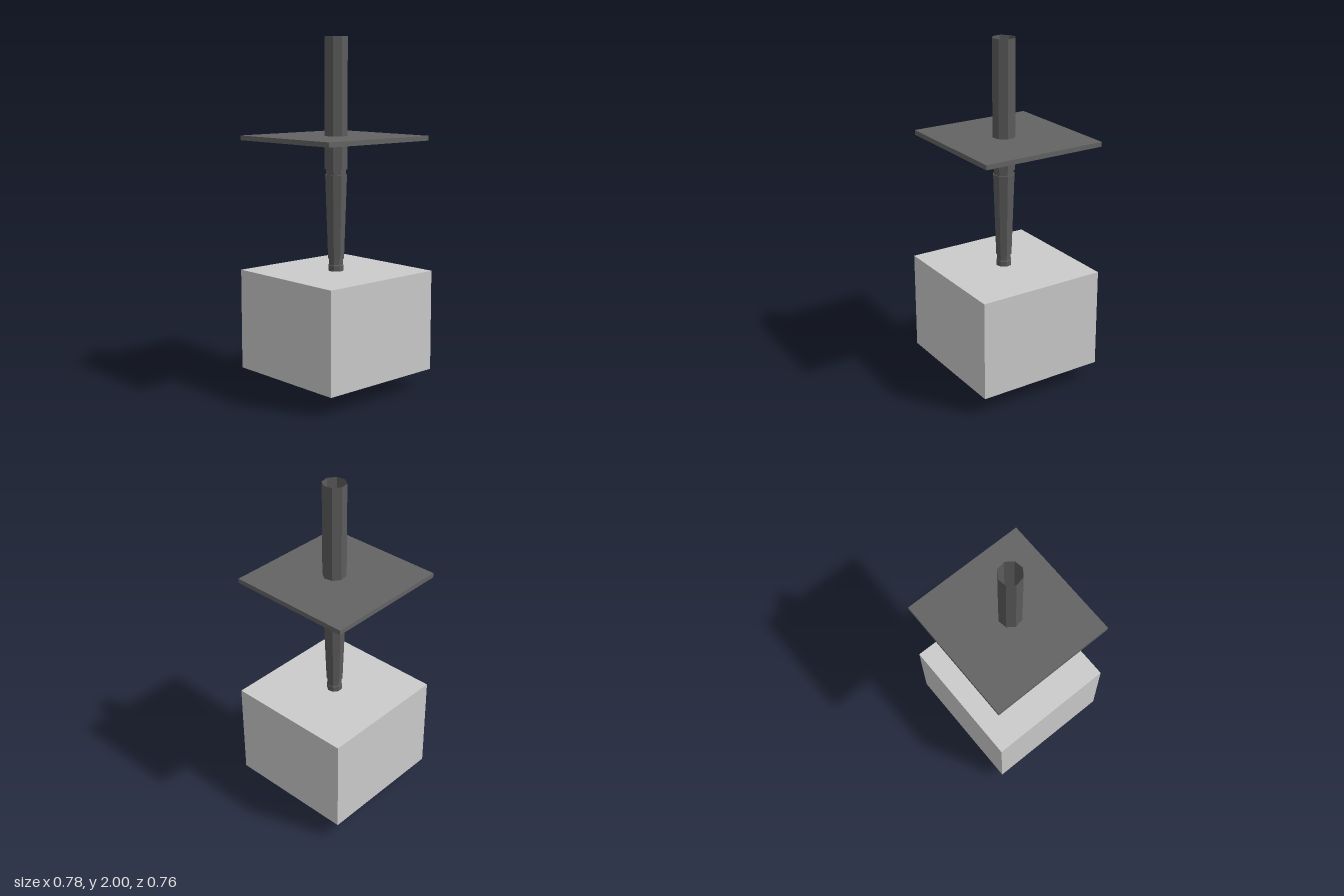
import * as THREE from 'three';

const SIDES = 8;
const TURN = -13 * Math.PI / 180; // facets are turned slightly off the front

const dark = new THREE.MeshStandardMaterial({ color: 0x5c5c5c, flatShading: true, side: THREE.DoubleSide });
const plateMat = new THREE.MeshStandardMaterial({ color: 0x646464, flatShading: true });
const grey = new THREE.MeshStandardMaterial({ color: 0xcccccc, flatShading: true });

function add(parent, name, geometry, material, x = 0, y = 0, z = 0) {
  const mesh = new THREE.Mesh(geometry, material);
  mesh.name = name;
  mesh.position.set(x, y, z);
  parent.add(mesh);
  return mesh;
}

// Faceted turned part; profile is [radius, y] from bottom to top
function turned(profile) {
  return new THREE.LatheGeometry(profile.map(([r, y]) => new THREE.Vector2(r, y)), SIDES, TURN);
}

// Loft of tilted rings in the yz plane; ring is [y, z, radius, tilt in degrees]
function loft(rings) {
  const pos = [], index = [];
  for (const [y, z, r, deg] of rings) {
    const tilt = THREE.MathUtils.degToRad(deg);
    for (let j = 0; j < SIDES; j++) {
      const t = TURN + j / SIDES * Math.PI * 2;
      const c = r * Math.cos(t);
      pos.push(r * Math.sin(t), y - c * Math.sin(tilt), z + c * Math.cos(tilt));
    }
  }
  for (let i = 0; i < rings.length - 1; i++) {
    for (let j = 0; j < SIDES; j++) {
      const k = (j + 1) % SIDES;
      const a = i * SIDES + j, b = i * SIDES + k;
      index.push(a, a + SIDES, b, b, a + SIDES, b + SIDES);
    }
  }
  // closed tip
  const last = (rings.length - 1) * SIDES;
  for (let j = 1; j < SIDES - 1; j++) index.push(last, last + j + 1, last + j);
  const geometry = new THREE.BufferGeometry();
  geometry.setAttribute('position', new THREE.Float32BufferAttribute(pos, 3));
  geometry.setIndex(index);
  geometry.computeVertexNormals();
  return geometry;
}

function rectangle(Type, w, d) {
  return new Type([[-w, -d], [w, -d], [w, d], [-w, d]].map(([x, y]) => new THREE.Vector2(x, y)));
}

export function createModel() {
  const model = new THREE.Group();
  model.name = 'hookedRod';

  // Rod: open upper tube, tapered middle and lower lengths with narrow necks
  const rod = new THREE.Group();
  rod.name = 'rod';
  rod.position.set(-0.002, 0, 0.002);
  model.add(rod);
  add(rod, 'upperTube', turned([[0.056, 1.265], [0.067, 1.265], [0.067, 2]]), dark);
  add(rod, 'upperNeck', turned([[0.058, 1.235], [0.058, 1.265]]), dark);
  add(rod, 'middleTaper', turned([[0.038, 0.755], [0.047, 0.755], [0.064, 1.235], [0.056, 1.235]]), dark);
  add(rod, 'middleNeck', turned([[0.041, 0.72], [0.041, 0.755]]), dark);
  add(rod, 'collar', turned([[0.04, 0.66], [0.045, 0.67], [0.045, 0.715], [0.04, 0.725]]), dark);
  add(rod, 'lowerTaper', turned([[0.024, 0.26], [0.031, 0.26], [0.04, 0.66]]), dark);

  // Bent hook at the foot of the rod
  add(rod, 'hook', loft([
    [0.26, 0, 0.027, 0],
    [0.12, 0, 0.027, 16],
    [0.022, -0.058, 0.02, 62],
    [0.018, -0.068, 0.018, 90],
    [0.018, -0.092, 0.018, 90],
  ]), dark);

  // Square plate around the upper tube
  add(model, 'plate', new THREE.BoxGeometry(0.754, 0.027, 0.738), plateMat, 0, 1.438, -0.014);

  // Hollow cover, open underneath
  const W = 0.388, D = 0.38, WALL = 0.03, BOTTOM = 0.108, TOP = 0.685;
  const cover = new THREE.Group();
  cover.name = 'cover';
  model.add(cover);
  const frame = rectangle(THREE.Shape, W, D);
  frame.holes.push(rectangle(THREE.Path, W - WALL, D - WALL));
  const walls = new THREE.ExtrudeGeometry(frame, { depth: TOP - WALL - BOTTOM, bevelEnabled: false });
  walls.rotateX(-Math.PI / 2);
  add(cover, 'coverWalls', walls, grey, 0, BOTTOM, 0);
  add(cover, 'coverTop', new THREE.BoxGeometry(W * 2, WALL, D * 2), grey, 0, TOP - WALL / 2, 0);

  return model;
}
